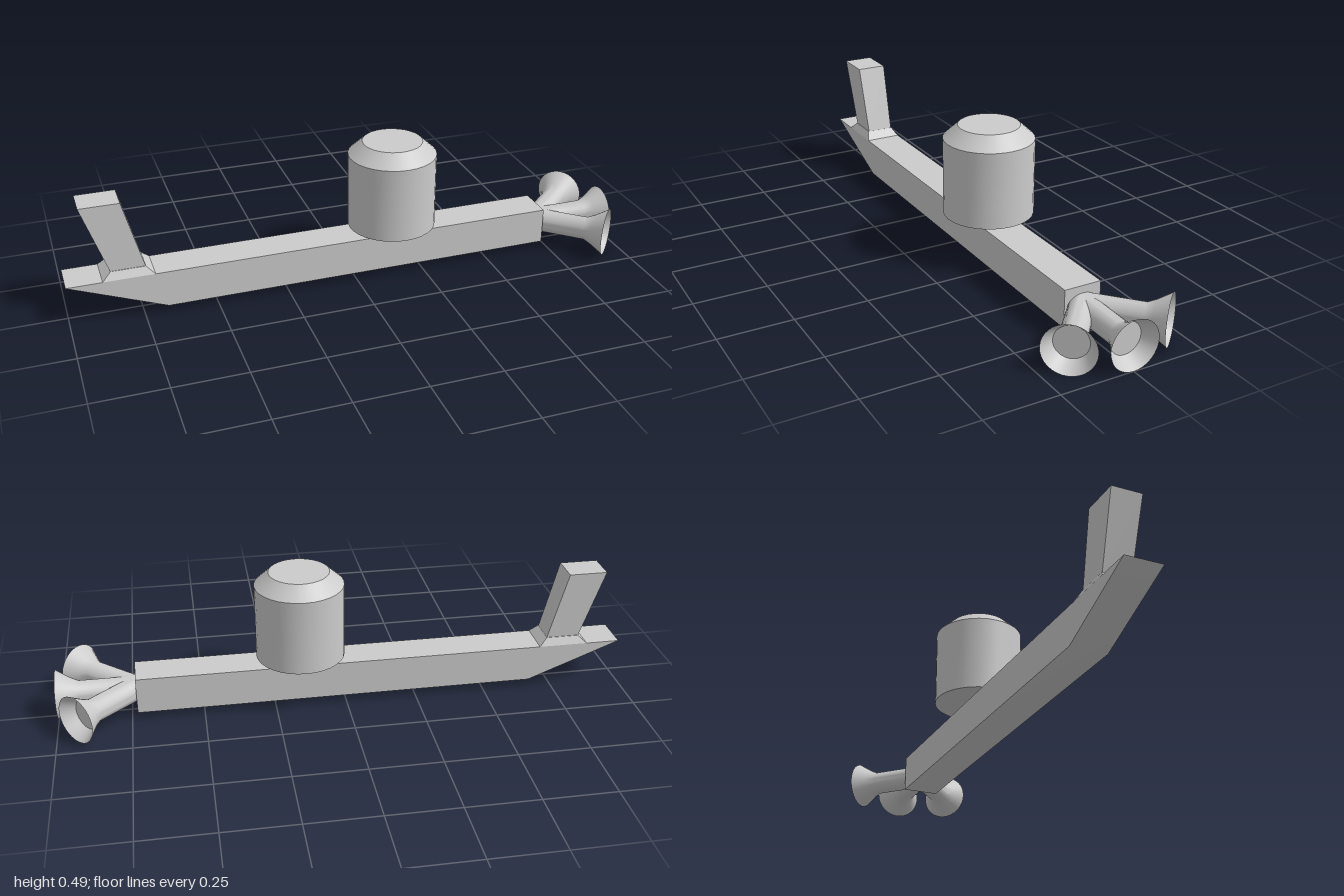
import * as THREE from 'three';
import { toCreasedNormals } from 'three/addons/utils/BufferGeometryUtils.js';

const material = new THREE.MeshStandardMaterial({ color: 0xcccccc });
const openMaterial = new THREE.MeshStandardMaterial({ color: 0xcccccc, side: THREE.DoubleSide });

function add(parent, name, geometry, mat = material) {
  const mesh = new THREE.Mesh(toCreasedNormals(geometry, 0.5), mat);
  mesh.name = name;
  parent.add(mesh);
  return mesh;
}

// Box whose bottom and top rectangles differ: { y, x0, x1, z } each
function taperedBox(bottom, top) {
  const g = new THREE.BoxGeometry(1, 1, 1);
  const p = g.attributes.position;
  for (let i = 0; i < p.count; i++) {
    const r = p.getY(i) > 0 ? top : bottom;
    p.setXYZ(i, p.getX(i) > 0 ? r.x1 : r.x0, r.y, Math.sign(p.getZ(i)) * r.z);
  }
  return g;
}

export function createModel() {
  const model = new THREE.Group();
  model.name = 'model';

  // Long beam with a raked underside at one end
  const side = new THREE.Shape([
    [-1, 0.155], [-0.67, 0.025], [0.73, 0.025], [0.73, 0.155],
  ].map(([x, y]) => new THREE.Vector2(x, y)));
  const beam = new THREE.ExtrudeGeometry(side, { depth: 0.13, bevelEnabled: false });
  beam.translate(0, 0, -0.065);
  add(model, 'beam', beam);

  // Leaning fin on its sloped foot
  add(model, 'finFoot', taperedBox(
    { y: 0.155, x0: -0.88, x1: -0.705, z: 0.065 },
    { y: 0.182, x0: -0.85, x1: -0.733, z: 0.05 }));
  add(model, 'fin', taperedBox(
    { y: 0.18, x0: -0.85, x1: -0.733, z: 0.048 },
    { y: 0.426, x0: -0.932, x1: -0.797, z: 0.053 }));

  // Drum with chamfered top on a short neck
  const drum = new THREE.Group();
  drum.name = 'drum';
  drum.position.x = 0.153;
  model.add(drum);
  add(drum, 'drumBody', new THREE.CylinderGeometry(0.155, 0.155, 0.268, 32)).position.y = 0.309;
  add(drum, 'drumTop', new THREE.CylinderGeometry(0.105, 0.155, 0.046, 32)).position.y = 0.466;
  add(drum, 'drumNeck', new THREE.CylinderGeometry(0.04, 0.04, 0.03, 24)).position.set(0.02, 0.165, 0);

  // Three flared nozzles fanning out from the beam's end
  const profile = [[0, 0], [0.042, 0], [0.042, 0.195], [0.055, 0.222], [0.085, 0.27]]
    .map(([r, y]) => new THREE.Vector2(r, y));
  ['centreNozzle', 'backNozzle', 'frontNozzle'].forEach((name, i) => {
    const nozzle = new THREE.Group();
    nozzle.name = name;
    nozzle.position.set(0.73, 0.0875, 0);
    nozzle.rotation.y = [0, 1, -1][i] * THREE.MathUtils.degToRad(42);
    model.add(nozzle);
    const horn = new THREE.LatheGeometry(profile, 32);
    horn.rotateZ(-Math.PI / 2);
    add(nozzle, 'horn', horn, openMaterial);
    const plate = new THREE.CircleGeometry(0.055, 32);
    plate.rotateY(Math.PI / 2);
    add(nozzle, 'hornPlate', plate, openMaterial).position.x = 0.222;
  });

  return model;
}
